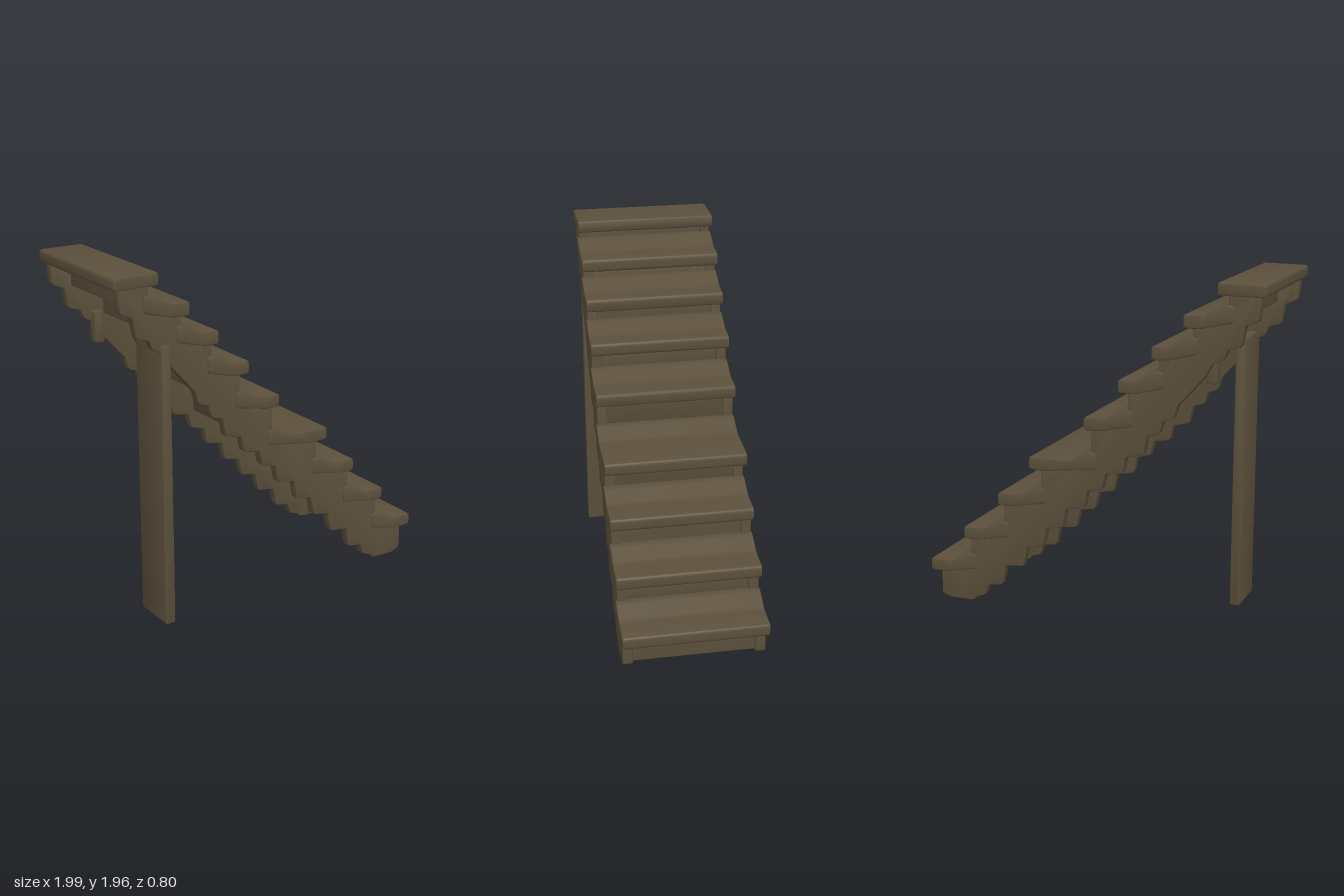
import * as THREE from 'three';
import { toCreasedNormals } from 'three/addons/utils/BufferGeometryUtils.js';

// Closed outline with every corner softened by radius r
function roundedShape(points, r) {
  const pts = points.map(([x, y]) => new THREE.Vector2(x, y));
  const shape = new THREE.Shape();
  pts.forEach((p, i) => {
    const prev = pts[(i + pts.length - 1) % pts.length];
    const next = pts[(i + 1) % pts.length];
    const toward = (q) => {
      const d = p.distanceTo(q);
      return p.clone().lerp(q, Math.min(r, d * 0.45) / d);
    };
    const a = toward(prev), b = toward(next);
    if (i === 0) shape.moveTo(a.x, a.y);
    else shape.lineTo(a.x, a.y);
    shape.quadraticCurveTo(p.x, p.y, b.x, b.y);
  });
  shape.closePath();
  return shape;
}

// Side profile extruded between two z positions, with softened rims
function slab(name, points, z0, z1, material, r = 0.015, bevel = 0.01) {
  const geo = new THREE.ExtrudeGeometry(roundedShape(points, r), {
    depth: z1 - z0 - 2 * bevel, curveSegments: 4,
    bevelEnabled: true, bevelSize: bevel, bevelThickness: bevel,
    bevelOffset: -bevel, bevelSegments: 2,
  });
  geo.translate(0, 0, z0 + bevel);
  const mesh = new THREE.Mesh(toCreasedNormals(geo, 0.7), material);
  mesh.name = name;
  return mesh;
}

export function createModel() {
  const wood = new THREE.MeshStandardMaterial({ color: 0x5c503c });
  wood.name = 'dark wood';
  const group = new THREE.Group();
  group.name = 'staircase';

  // Each step: nose x, top y, riser x
  const steps = [
    [0.99, 0.235, 0.925], [0.765, 0.46, 0.725], [0.54, 0.69, 0.505],
    [0.34, 0.925, 0.27], [0.005, 1.185, -0.035], [-0.195, 1.41, -0.25],
    [-0.385, 1.605, -0.425], [-0.56, 1.785, -0.61], [-0.74, 1.96, -0.8],
  ];
  const thick = 0.075;

  steps.forEach(([nose, top, riser], i) => {
    const next = steps[i + 1];
    // Tread with a thick nose, curling up where it meets the next riser
    const profile = next
      ? [[nose, top - thick], [nose, top], [next[2] + 0.12, top + 0.005],
        [next[2] + 0.01, top + 0.06], [next[2] - 0.03, top + 0.06],
        [next[2] - 0.03, top - 0.03], [riser - 0.04, top - thick]]
      : [[nose, top - 0.07], [nose, top], [-1, top], [-1, top - 0.07]];
    group.add(slab('tread', profile, -0.4, 0.4, wood, 0.02));

    // Riser board set back between the stringers
    const low = i === 0 ? 0.03 : steps[i - 1][1] - 0.03;
    const x = riser - 0.015;
    group.add(slab('riser', [[x, low], [x, top - 0.03], [x - 0.035, top - 0.03], [x - 0.035, low]],
      -0.36, 0.36, wood, 0.005, 0.004));
  });

  // Toothed underside of the stringers, from the foot up
  const underside = [
    [0.72, 0.005], [0.70, 0.03], [0.64, 0.05], [0.62, 0.115], [0.53, 0.13],
    [0.505, 0.25], [0.39, 0.265], [0.365, 0.38], [0.265, 0.40], [0.24, 0.51],
    [0.14, 0.53], [0.12, 0.64], [0.01, 0.66], [-0.01, 0.76], [-0.10, 0.785],
    [-0.12, 0.87], [-0.22, 0.89], [-0.24, 0.98], [-0.34, 1.005], [-0.36, 1.11],
    [-0.43, 1.13], [-0.45, 1.20], [-0.51, 1.22], [-0.53, 1.29], [-0.62, 1.39],
    [-0.68, 1.46], [-0.72, 1.53], [-0.78, 1.56], [-0.80, 1.61], [-0.87, 1.63],
    [-0.89, 1.74], [-0.96, 1.77], [-0.975, 1.92],
  ];
  // Stepped upper edge, from the top down
  const upper = [];
  for (let i = steps.length - 1; i >= 0; i--) {
    const [, top, riser] = steps[i];
    upper.push([riser, top - 0.04]);
    if (i > 0) upper.push([riser, steps[i - 1][1] + 0.035], [riser + 0.07, steps[i - 1][1] - 0.03]);
  }
  const outline = [...underside, ...upper, [0.925, 0.02], [0.87, 0]];
  for (const [z0, z1] of [[0.335, 0.392], [-0.392, -0.335]]) {
    group.add(slab('stringer', outline, z0, z1, wood, 0.014, 0.008));
  }

  // Flat support post under the landing, and a short stub on the other side
  const post = (name, y0, y1, z0, z1) => group.add(slab(name,
    [[-0.735, y0], [-0.675, y0], [-0.675, y1], [-0.735, y1]], z0, z1, wood, 0.012, 0.008));
  post('supportPost', 0, 1.58, 0.14, 0.395);
  post('postStub', 1.42, 1.6, -0.36, -0.3);

  return group;
}
